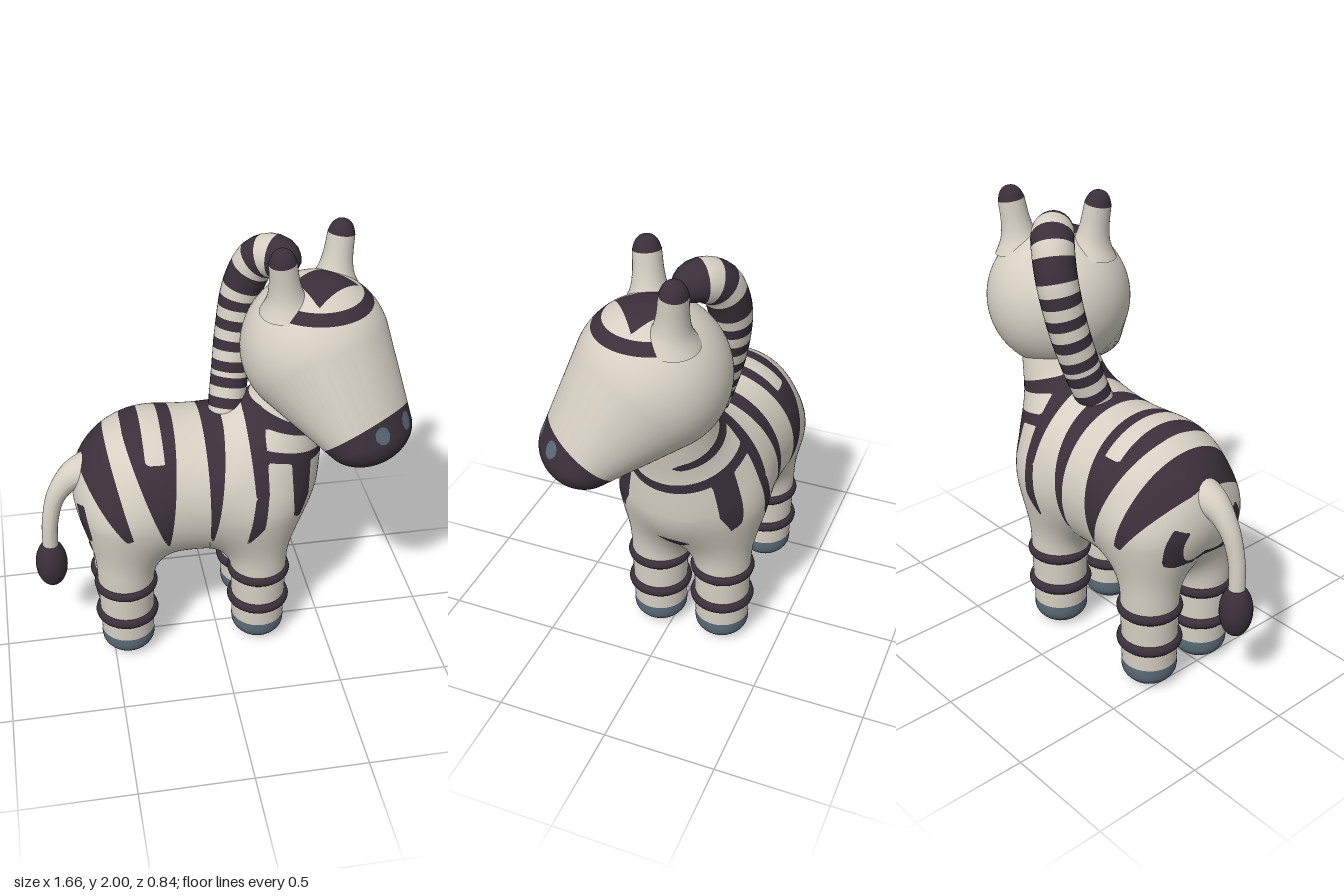
import * as THREE from 'three';

const mat = (name, color) => Object.assign(new THREE.MeshStandardMaterial({ color }), { name });
const V = (x, y, z) => new THREE.Vector3(x, y, z);
const MID = -0.08; // body centre line in z
const LEGS = [[0.19, 0.075], [0.19, -0.23], [-0.43, 0.075], [-0.43, -0.23]];

// ---- smooth body field: two barrels, neck and legs blended together ----
const RUMP = [V(-0.27, 0.83, MID), V(0.37, 0.345, 0.335)];
const CHEST = [V(0.1, 0.82, MID), V(0.34, 0.35, 0.33)];
const NECK = [V(0.24, 0.88, MID), V(0.38, 1.3, -0.06), 0.22, 0.165];

function ellipsoid(p, [c, r]) {
  const q = p.clone().sub(c).divide(r), k = q.length();
  return k < 1e-4 ? -r.y : k * (k - 1) / q.divide(r).length();
}
function cone(p, [a, b, ra, rb]) {
  const ab = b.clone().sub(a), ap = p.clone().sub(a);
  const h = THREE.MathUtils.clamp(ap.dot(ab) / ab.lengthSq(), 0, 1);
  return ap.addScaledVector(ab, -h).length() - THREE.MathUtils.lerp(ra, rb, h);
}
function blend(a, b, k) {
  const h = Math.max(k - Math.abs(a - b), 0) / k;
  return Math.min(a, b) - h * h * k / 4;
}
const LEG_CONES = LEGS.map(([x, z]) => [V(x, 0, z), V(x, 0.75, z), 0.119, 0.137]);
function bodyField(p) {
  const barrel = blend(ellipsoid(p, RUMP), ellipsoid(p, CHEST), 0.15);
  return blend(blend(barrel, cone(p, NECK), 0.14), Math.min(...LEG_CONES.map(l => cone(p, l))), 0.13);
}
function gradient(p) {
  const e = 0.002, d = a => bodyField(p.clone().add(a)) - bodyField(p.clone().sub(a));
  return V(d(V(e, 0, 0)), d(V(0, e, 0)), d(V(0, 0, e))).divideScalar(2 * e);
}
// moves the vertices of a simple shape onto the blended body surface
function skin(geo) {
  const pos = geo.attributes.position, nor = geo.attributes.normal, p = V(0, 0, 0);
  for (let i = 0; i < pos.count; i++) {
    p.fromBufferAttribute(pos, i);
    for (let s = 0; s < 6; s++) {
      const d = bodyField(p);
      if (d < -0.1 || Math.abs(d) < 2e-4) break;
      const g = gradient(p);
      p.addScaledVector(g, THREE.MathUtils.clamp(-d / Math.max(g.lengthSq(), 0.2), -0.05, 0.05));
    }
    pos.setXYZ(i, p.x, p.y, p.z);
    const n = gradient(p).normalize();
    nor.setXYZ(i, n.x, n.y, n.z);
  }
  return geo;
}

// cuts a surface along the zero lines of the fields; material k+1 goes where field k is positive
function paint(geo, fields) {
  const g = geo.index ? geo.toNonIndexed() : geo, P = g.attributes.position, N = g.attributes.normal;
  const buckets = [[], ...fields.map(() => [])];
  const mix = (a, b, t) => ({ p: a.p.clone().lerp(b.p, t), n: a.n.clone().lerp(b.n, t) });
  const fan = (poly, k) => { for (let i = 2; i < poly.length; i++) buckets[k].push(poly[0], poly[i - 1], poly[i]); };
  function cut(poly, k) {
    if (poly.length < 3) return;
    if (k === fields.length) return fan(poly, 0);
    const f = poly.map(v => fields[k](v.p)), inn = [], out = [];
    poly.forEach((v, i) => {
      const j = (i + 1) % poly.length;
      (f[i] > 0 ? inn : out).push(v);
      if ((f[i] > 0) !== (f[j] > 0)) {
        const m = mix(v, poly[j], f[i] / (f[i] - f[j]));
        inn.push(m); out.push(m);
      }
    });
    fan(inn, k + 1);
    cut(out, k + 1);
  }
  function refine(a, b, c) {
    const ab = a.p.distanceTo(b.p), bc = b.p.distanceTo(c.p), ca = c.p.distanceTo(a.p), m = Math.max(ab, bc, ca);
    if (m < 0.03) return cut([a, b, c], 0);
    if (m === bc) return refine(b, c, a);
    if (m === ca) return refine(c, a, b);
    const h = mix(a, b, 0.5);
    refine(a, h, c); refine(h, b, c);
  }
  const vert = i => ({ p: V(0, 0, 0).fromBufferAttribute(P, i), n: V(0, 0, 0).fromBufferAttribute(N, i) });
  for (let i = 0; i < P.count; i += 3) refine(vert(i), vert(i + 1), vert(i + 2));
  const all = buckets.flat(), res = new THREE.BufferGeometry();
  res.setAttribute('position', new THREE.Float32BufferAttribute(all.flatMap(v => v.p.toArray()), 3));
  res.setAttribute('normal', new THREE.Float32BufferAttribute(all.flatMap(v => v.n.normalize().toArray()), 3));
  let start = 0;
  buckets.forEach((b, k) => { res.addGroup(start, b.length, k); start += b.length; });
  return res;
}

// ---- coat pattern: convex outlines in side view (x, y), clockwise ----
const STRIPES = [
  [[-0.628, 0.82], [-0.6, 0.85], [-0.572, 0.68], [-0.6, 0.64]],
  [[-0.6, 0.97], [-0.57, 1.3], [-0.49, 1.12], [-0.4, 0.74], [-0.43, 0.73]],
  [[-0.41, 1.14], [-0.41, 1.3], [-0.17, 1.3], [-0.19, 1.12], [-0.23, 0.68], [-0.25, 0.67]],
  [[-0.06, 1.2], [-0.06, 1.3], [0.03, 1.3], [0.03, 1.15], [-0.06, 0.55], [-0.12, 0.54]],
  [[0.12, 1.25], [0.2, 1.24], [0.2, 0.9], [0.14, 0.9]],
  [[0.14, 0.9], [0.2, 0.92], [0.18, 0.74], [0.1, 0.63]],
  [[0.12, 1.2], [0.19, 1.24], [0.5, 1.12], [0.5, 1.085], [0.19, 1.17]],
  [[0.18, 1.045], [0.18, 1.09], [0.56, 0.99], [0.56, 0.945]],
  [[0.31, 1.03], [0.41, 1.0], [0.4, 0.82], [0.35, 0.72], [0.32, 0.76]],
];
const inside = (x, y, poly) => Math.min(...poly.map(([ax, ay], i) => {
  const [bx, by] = poly[(i + 1) % poly.length], dx = bx - ax, dy = by - ay;
  return ((x - ax) * dy - (y - ay) * dx) / Math.hypot(dx, dy);
}));
function coat(p) {
  const notch = Math.min(0.042 - Math.abs(p.x + 0.287), p.y - 1.07);
  const spot = Math.min(p.x - 0.2, 0.64 - p.y, p.y - 0.57 - Math.abs(p.z - MID) * 0.8);
  const stripes = Math.max(...STRIPES.map(s => inside(p.x, p.y, s)));
  return Math.max(Math.min(stripes, -notch), spot);
}

// ---- head shape: skull and muzzle wrapped in one convex skin, local +z forward ----
const HEAD = [[V(0, 0, 0), V(0.32, 0.32, 0.32)], [V(0, -0.3, 0.306), V(0.225, 0.135, 0.165)]];
function headGeometry() {
  const geo = new THREE.SphereGeometry(1, 96, 64), pos = geo.attributes.position, n = V(0, 0, 0);
  for (let i = 0; i < pos.count; i++) {
    n.fromBufferAttribute(pos, i).normalize();
    const [s, m] = HEAD.map(([c, r]) => {
      const len = n.clone().multiply(r).length();
      return { reach: c.dot(n) + len, p: n.clone().multiply(r).multiply(r).divideScalar(len).add(c) };
    });
    const { p } = s.reach > m.reach ? s : m;
    pos.setXYZ(i, p.x, p.y, p.z);
  }
  return geo;
}

// tube whose radius follows a rule along its length
function taperedTube(points, radius, segs) {
  const path = new THREE.CatmullRomCurve3(points), sides = 24;
  const geo = new THREE.TubeGeometry(path, segs, 1, sides), pos = geo.attributes.position, v = V(0, 0, 0);
  for (let i = 0; i <= segs; i++) {
    const c = path.getPointAt(i / segs), r = radius(i / segs);
    for (let j = 0; j <= sides; j++) {
      const k = i * (sides + 1) + j;
      v.fromBufferAttribute(pos, k).sub(c).multiplyScalar(r).add(c);
      pos.setXYZ(k, v.x, v.y, v.z);
    }
  }
  geo.computeVertexNormals();
  return geo;
}
const lathe = pts => new THREE.LatheGeometry(new THREE.SplineCurve(pts.map(p => new THREE.Vector2(...p))).getPoints(16), 32);

export function createModel() {
  const cream = mat('cream', 0xd6d0c4), dark = mat('dark', 0x3a303a), slate = mat('slate', 0x5a6a76);
  const root = new THREE.Group();
  const add = (name, geo, m, parent = root) => {
    const mesh = new THREE.Mesh(geo, m);
    mesh.name = name;
    parent.add(mesh);
    return mesh;
  };

  // striped torso and neck
  const ball = ([c, r]) => new THREE.SphereGeometry(1, 80, 56).scale(r.x, r.y, r.z).translate(c.x, c.y, c.z);
  add('rump', paint(skin(ball(RUMP)), [coat]), [cream, dark]);
  add('chest', paint(skin(ball(CHEST)), [coat]), [cream, dark]);
  const neck = new THREE.CylinderGeometry(0.165, 0.22, 0.46, 64, 20, true).rotateZ(-0.32).translate(0.31, 1.09, -0.07);
  add('neck', paint(skin(neck), [coat]), [cream, dark]);

  // legs with rings, hooves and soles
  LEGS.forEach(([x, z], i) => {
    const leg = new THREE.Group();
    leg.name = (i < 2 ? 'front' : 'hind') + (i % 2 ? 'Right' : 'Left') + 'Leg';
    root.add(leg);
    const shaft = new THREE.CylinderGeometry(0.136, 0.122, 0.62, 48, 24, true).translate(x, 0.42, z);
    add('shaft', paint(skin(shaft), [coat]), [cream, dark], leg);
    add('hoof', lathe([[0.04, 0], [0.085, 0.017], [0.115, 0.05], [0.123, 0.08], [0.123, 0.115]]), slate, leg).position.set(x, 0, z);
    add('sole', new THREE.CircleGeometry(0.045, 24).rotateX(Math.PI / 2), cream, leg).position.set(x, 0.001, z);
    for (const y of [0.22, 0.385])
      add('ring', new THREE.TorusGeometry(0.118, 0.027, 12, 40).rotateX(Math.PI / 2), dark, leg).position.set(x, y, z);
  });

  // head turned to the side, with muzzle, nostrils and brow markings
  const head = new THREE.Group();
  head.name = 'head';
  head.position.set(0.43, 1.5, -0.01);
  head.rotation.y = 0.664;
  root.add(head);
  const nostrils = p => 0.037 - Math.hypot(Math.abs(p.x) - 0.082, p.y + 0.23, (p.z - 0.46) * 0.4);
  const muzzle = p => 0.67 * (p.z - 0.23) - 0.745 * (p.y + 0.34);
  const brow = p => Math.min(0.02 - Math.abs(p.y - 0.235), p.z);
  const crown = p => Math.min(p.y - 0.25, p.z + 0.06, 0.115 - p.z, 0.1 + p.z * 0.3 - Math.abs(p.x));
  add('face', paint(headGeometry(), [nostrils, muzzle, brow, crown]), [cream, slate, dark, dark, dark], head);
  for (const s of [-1, 1]) {
    const ear = new THREE.Group();
    ear.name = s > 0 ? 'leftEar' : 'rightEar';
    ear.position.set(s * 0.155, 0.22, -0.035);
    ear.rotation.z = -s * 0.16;
    head.add(ear);
    add('earBase', lathe([[0.115, 0], [0.08, 0.06], [0.064, 0.13], [0.058, 0.225]]), cream, ear);
    add('earTip', lathe([[0.058, 0.225], [0.047, 0.256], [0.028, 0.278], [0, 0.287]]), dark, ear);
  }

  // banded mane from the withers over the back of the skull
  const pattern = '..##..##.##..##..##..##..####..##..#####';
  const mane = taperedTube([V(0.06, 1.12, -0.1), V(0.09, 1.3, -0.16), V(0.12, 1.5, -0.21), V(0.16, 1.7, -0.23),
    V(0.22, 1.83, -0.2), V(0.29, 1.86, -0.14), V(0.35, 1.81, -0.07)],
  t => (0.08 + 0.015 * t) * Math.sqrt(Math.max(1 - Math.max((t - 0.84) / 0.16, 0) ** 2, 0)), 40);
  [...pattern].forEach((c, i) => mane.addGroup(i * 24 * 6, 24 * 6, c === '#' ? 1 : 0));
  add('mane', mane, [cream, dark]);

  // tail and tuft
  add('tail', taperedTube([V(-0.54, 0.93, -0.07), V(-0.63, 0.91, -0.06), V(-0.71, 0.82, -0.05), V(-0.75, 0.68, -0.04), V(-0.76, 0.5, -0.04)],
    t => 0.036 + 0.065 * (1 - t) ** 4, 32), cream);
  add('tailTuft', new THREE.SphereGeometry(1, 32, 24).scale(0.073, 0.125, 0.073), dark).position.set(-0.76, 0.44, -0.04);
  return root;
}
